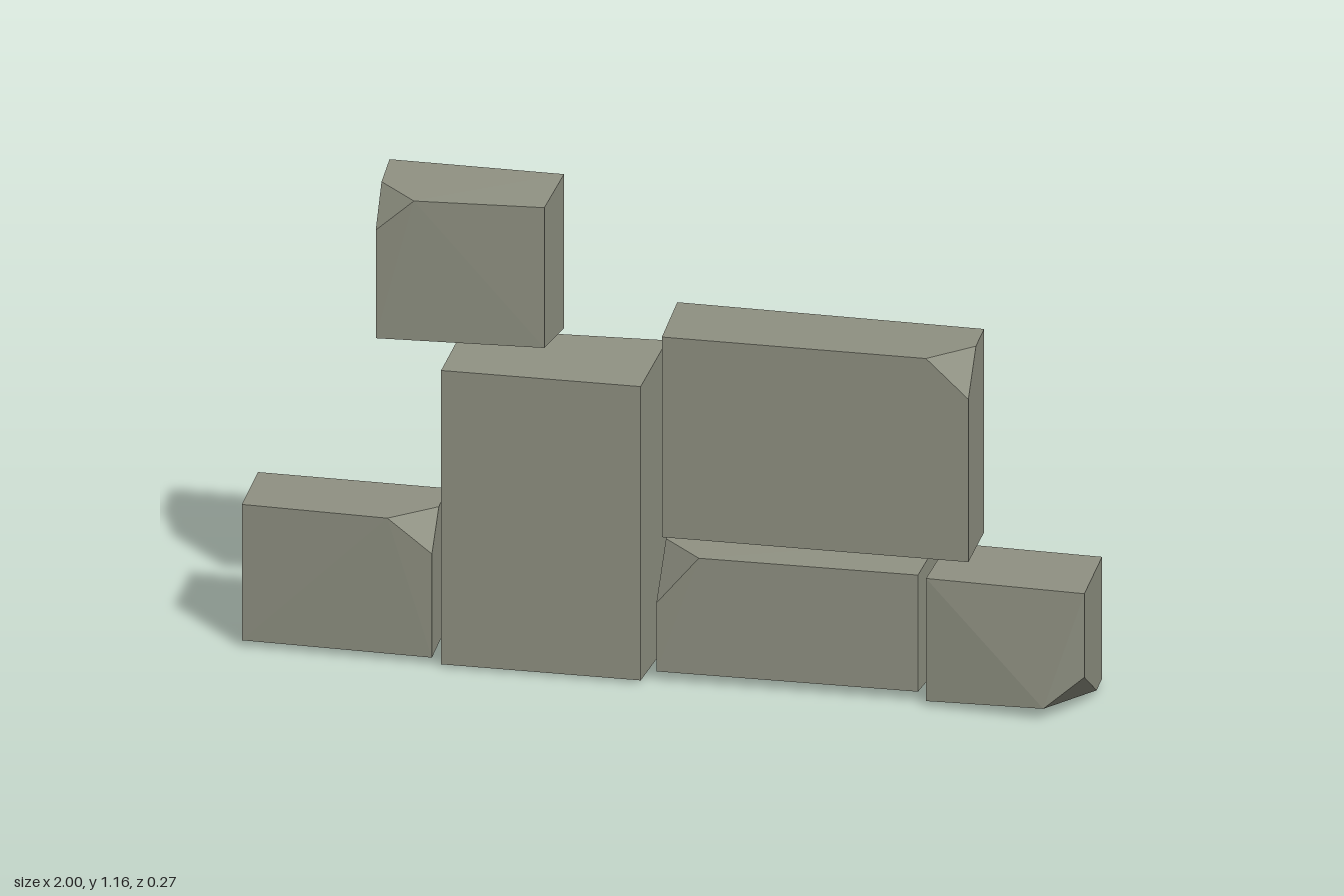
import * as THREE from 'three';
import { ConvexGeometry } from 'three/addons/geometries/ConvexGeometry.js';

const stone = new THREE.MeshStandardMaterial({ color: 0x8f9182 });
stone.name = 'greyStone';

// One face of a stone: x and y ranges, with z running from the -x end to the +x end.
function face([x0, x1], [y0, y1], [z0, z1]) {
  return [
    new THREE.Vector3(x0, y0, z0), new THREE.Vector3(x1, y0, z1),
    new THREE.Vector3(x1, y1, z1), new THREE.Vector3(x0, y1, z0),
  ];
}

// A slightly skewed stone between a front and a back face.
// The chip breaks off one front corner: i is the corner, w and h its reach
// along the front edges, t its depth towards the back, bulge a forward lip.
function block(name, front, back, chip) {
  const points = [...front, ...back];
  if (chip) {
    const { i, w, h, t, bulge = 0 } = chip;
    const corner = front[i];
    const sideX = i === 1 || i === 2 ? 1 : -1;
    const sideY = i > 1 ? 1 : -1;
    points.splice(i, 1,
      new THREE.Vector3(corner.x - sideX * w, corner.y + bulge, corner.z + bulge),
      new THREE.Vector3(corner.x, corner.y - sideY * h, corner.z),
      corner.clone().lerp(back[i], t));
  }
  const mesh = new THREE.Mesh(new ConvexGeometry(points), stone);
  mesh.name = name;
  return mesh;
}

export function createModel() {
  const model = new THREE.Group();
  model.name = 'stoneWall';

  model.add(
    // Bottom course
    block('lowerOuterStone',
      face([-0.995, -0.545], [0.022, 0.36], [0.08, 0.092]),
      face([-1, -0.553], [0.02, 0.36], [-0.12, -0.115]),
      { i: 2, w: 0.105, h: 0.08, t: 0.45 }),
    block('lowerMiddleStone',
      face([-0.018, 0.597], [0.03, 0.32], [0.085, 0.08]),
      face([-0.01, 0.605], [0.013, 0.33], [-0.132, -0.12]),
      { i: 3, w: 0.1, h: 0.12, t: 0.42 }),
    block('lowerEndStone',
      face([0.621, 0.997], [0.018, 0.323], [0.103, 0.118]),
      face([0.626, 0.99], [0.02, 0.323], [-0.12, -0.11]),
      { i: 1, w: 0.093, h: 0.097, t: 0.69, bulge: 0.018 }),

    // Upright stone
    block('tallStone',
      face([-0.52, -0.05], [0.014, 0.745], [0.108, 0.108]),
      face([-0.513, -0.04], [0.006, 0.763], [-0.11, -0.137])),

    // Upper stones
    block('largeUpperStone',
      face([-0.005, 0.717], [0.365, 0.863], [0.085, 0.086]),
      face([-0.015, 0.71], [0.356, 0.862], [-0.132, -0.12]),
      { i: 2, w: 0.1, h: 0.093, t: 0.48 }),
    block('topStone',
      face([-0.676, -0.284], [0.808, 1.157], [0.098, 0.075]),
      face([-0.689, -0.277], [0.784, 1.167], [-0.115, -0.11]),
      { i: 3, w: 0.09, h: 0.08, t: 0.42 }),
  );

  return model;
}
